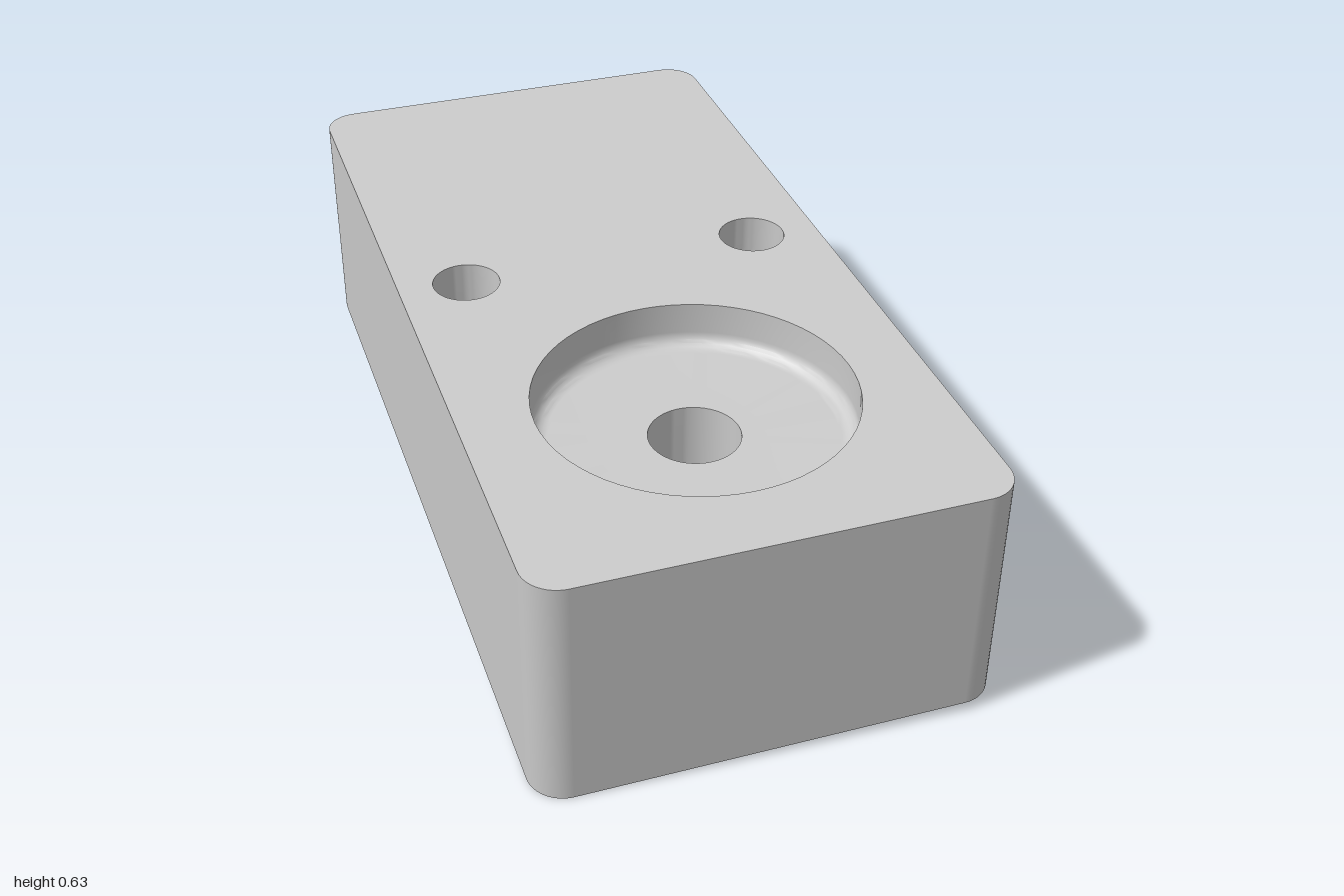
import * as THREE from 'three';
import { toCreasedNormals } from 'three/addons/utils/BufferGeometryUtils.js';

const W = 0.907, L = 1.805, T = 0.487, R = 0.07;   // block width, length, thickness, corner radius
const HOLE_R = 0.069, HOLE_X = 0.3125, HOLE_Z = -0.078;
const POCKET_R = 0.312, POCKET_Z = 0.442, POCKET_D = 0.096, FILLET = 0.03;
const BORE_R = 0.09, BORE_D = 0.3;
const SEG = 64;

const material = new THREE.MeshStandardMaterial({ color: 0xcccccc });

// Rounded outline as points with their outward directions, in the x-z plane
function outline() {
  const pts = [], n = 12;
  const corners = [[1, 1], [-1, 1], [-1, -1], [1, -1]];
  corners.forEach(([sx, sz], c) => {
    for (let i = 0; i <= n; i++) {
      const a = (c + i / n) * Math.PI / 2;
      const nx = Math.cos(a), nz = Math.sin(a);
      pts.push({ x: sx * (W / 2 - R) + R * nx, z: sz * (L / 2 - R) + R * nz, nx, nz });
    }
  });
  return pts;
}

// Outer wall: one strip around the outline, smooth on the corners and flat between them
function wallGeometry() {
  const pts = outline(), pos = [], nor = [], index = [];
  pts.forEach((p, i) => {
    pos.push(p.x, -T / 2, p.z, p.x, T / 2, p.z);
    nor.push(p.nx, 0, p.nz, p.nx, 0, p.nz);
    const a = 2 * i, b = 2 * ((i + 1) % pts.length);
    index.push(a, a + 1, b, b, a + 1, b + 1);
  });
  const g = new THREE.BufferGeometry();
  g.setAttribute('position', new THREE.Float32BufferAttribute(pos, 3));
  g.setAttribute('normal', new THREE.Float32BufferAttribute(nor, 3));
  g.setIndex(index);
  return g;
}

// Flat face with round openings [x, z, radius]; side is 1 for the top, -1 for the bottom
function faceGeometry(openings, side) {
  const shape = new THREE.Shape(outline().map(p => new THREE.Vector2(p.x, -side * p.z)));
  for (const [x, z, r] of openings) {
    shape.holes.push(new THREE.Path().absarc(x, -side * z, r, 0, Math.PI * 2, true));
  }
  return new THREE.ShapeGeometry(shape, SEG / 2)
    .rotateX(-side * Math.PI / 2)
    .translate(0, side * T / 2, 0);
}

// Recess turned from a profile that runs from the rim down and inward
function recessGeometry(profile) {
  const points = profile.map(([x, y]) => new THREE.Vector2(x, y));
  return toCreasedNormals(new THREE.LatheGeometry(points, SEG), 0.5);
}

export function createModel() {
  const model = new THREE.Group();
  model.name = 'mountingBlock';
  const block = new THREE.Group();
  block.name = 'tiltedBlock';
  model.add(block);

  const add = (name, geometry, x = 0, y = 0, z = 0) => {
    const mesh = new THREE.Mesh(geometry, material);
    mesh.name = name;
    mesh.position.set(x, y, z);
    block.add(mesh);
  };

  const holes = [-1, 1].map(s => [s * HOLE_X, HOLE_Z, HOLE_R]);
  add('outerWall', wallGeometry());
  add('topFace', faceGeometry([...holes, [0, POCKET_Z, POCKET_R]], 1));
  add('bottomFace', faceGeometry(holes, -1));

  // Two through holes
  holes.forEach(([x, z, r], i) => {
    add(i ? 'leftHole' : 'rightHole', recessGeometry([[r, T / 2], [r, -T / 2]]), x, 0, z);
  });

  // Round pocket with a filleted floor and a blind bore in its middle
  const profile = [[POCKET_R, 0], [POCKET_R, FILLET - POCKET_D + 0.004]];
  for (let i = 0; i <= 6; i++) {
    const a = i / 6 * Math.PI / 2;
    profile.push([
      POCKET_R - FILLET + FILLET * Math.cos(a),
      FILLET - POCKET_D - FILLET * Math.sin(a),
    ]);
  }
  profile.push([POCKET_R - FILLET - 0.004, -POCKET_D], [BORE_R, -POCKET_D]);
  add('pocket', recessGeometry(profile), 0, T / 2, POCKET_Z);

  const floor = -POCKET_D - BORE_D;
  add('bore', recessGeometry([[BORE_R, -POCKET_D], [BORE_R, floor], [0, floor]]), 0, T / 2, POCKET_Z);

  // Turned about the upright axis, then tipped toward the front
  block.rotation.set(THREE.MathUtils.degToRad(4.27), THREE.MathUtils.degToRad(20), 0);
  model.updateMatrixWorld(true);
  block.position.y = -new THREE.Box3().setFromObject(block, true).min.y;
  return model;
}
